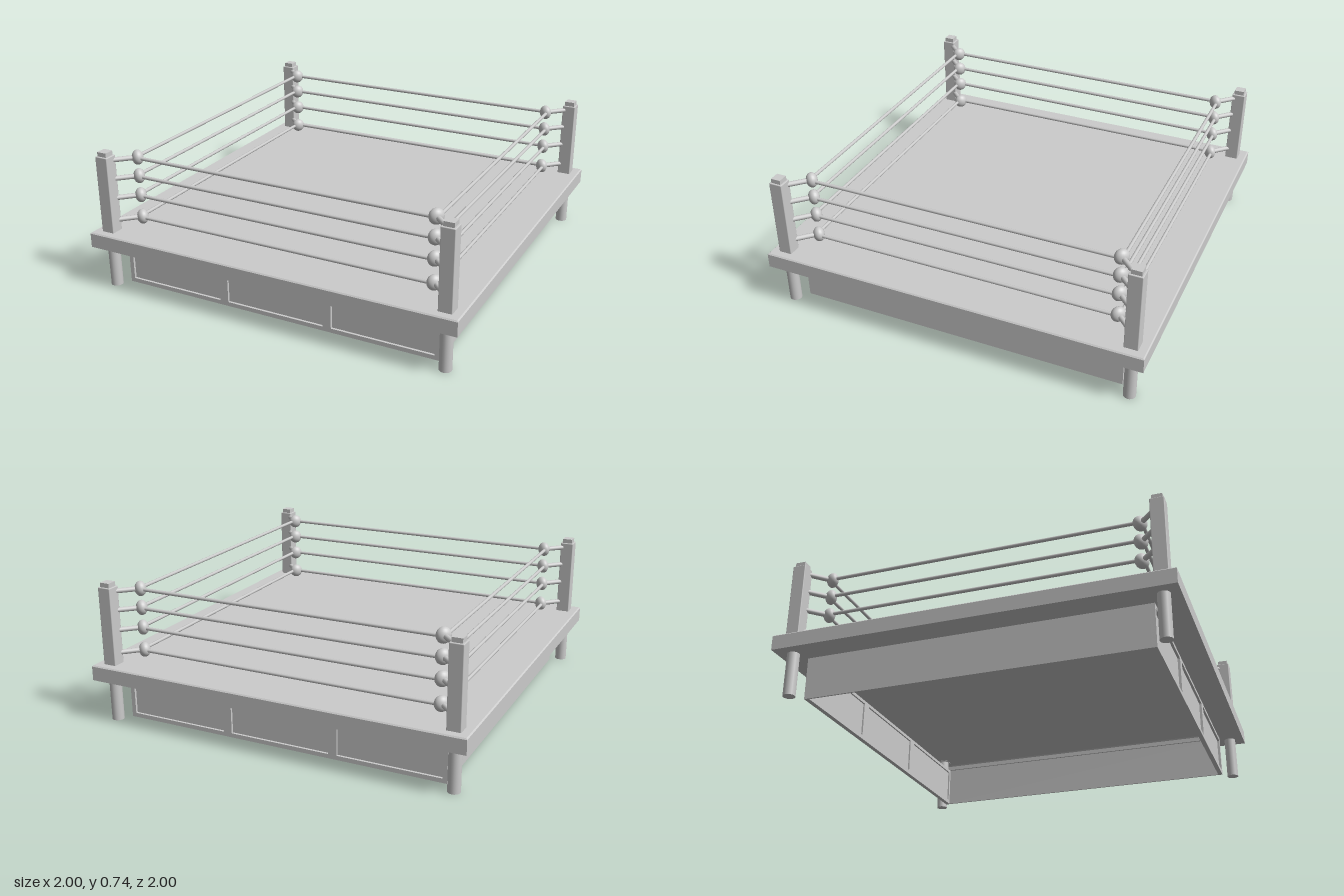
import * as THREE from 'three';
import { RoundedBoxGeometry } from 'three/addons/geometries/RoundedBoxGeometry.js';

const grey = new THREE.MeshStandardMaterial({ color: 0xcccccc });
const greyShell = new THREE.MeshStandardMaterial({ color: 0xcccccc, side: THREE.DoubleSide, flatShading: true });

// square shell: a four-sided lathe whose profile gives half-widths and heights
function squareShell(profile) {
  const points = profile.map(([half, y]) => new THREE.Vector2(half * Math.SQRT2, y));
  const geometry = new THREE.LatheGeometry(points, 4).rotateY(Math.PI / 4).toNonIndexed();
  geometry.computeVertexNormals();
  return geometry;
}

export function createModel() {
  const ring = new THREE.Group();
  ring.name = 'wrestlingRing';

  const add = (name, geometry, x, y, z, parent = ring, material = grey) => {
    const mesh = new THREE.Mesh(geometry, material);
    mesh.name = name;
    mesh.position.set(x, y, z);
    parent.add(mesh);
    return mesh;
  };

  // hollow platform, open underneath inside the skirt
  const platform = squareShell([[0.87, 0.226], [1, 0.226], [1, 0.3], [0.994, 0.306], [0, 0.306]]);
  add('platform', platform, 0, 0, 0, ring, greyShell);

  // skirt: plain walls left and right
  for (const side of [-1, 1]) {
    add('sideSkirt', new THREE.BoxGeometry(0.008, 0.219, 1.74), side * 0.866, 0.1095, 0);
  }

  // skirt: framed walls front and back, panels recessed on both faces
  const frame = new THREE.Shape();
  frame.moveTo(-0.87, 0).lineTo(0.87, 0).lineTo(0.87, 0.219).lineTo(-0.87, 0.219).closePath();
  for (const cx of [-0.58, 0, 0.58]) {
    const hole = new THREE.Path();
    hole.moveTo(cx - 0.267, 0.022).lineTo(cx - 0.267, 0.202);
    hole.lineTo(cx + 0.267, 0.202).lineTo(cx + 0.267, 0.022).closePath();
    frame.holes.push(hole);
  }
  const frameGeometry = new THREE.ExtrudeGeometry(frame, { depth: 0.024, bevelEnabled: false });
  const panelGeometry = new THREE.BoxGeometry(0.534, 0.18, 0.003);
  for (const turn of [0, Math.PI]) {
    const wall = new THREE.Group();
    wall.name = turn ? 'backSkirt' : 'frontSkirt';
    wall.rotation.y = turn;
    ring.add(wall);
    add('skirtFrame', frameGeometry, 0, 0, 0.846, wall);
    for (const cx of [-0.58, 0, 0.58]) {
      add('skirtPanel', panelGeometry, cx, 0.112, 0.856, wall);
    }
  }

  // corners and ropes: one quarter, turned four times
  const ropeHeights = [0.36, 0.48, 0.585, 0.685];
  const post = 0.922;
  const legGeometry = new THREE.CylinderGeometry(0.031, 0.031, 0.304, 20);
  const postGeometry = new RoundedBoxGeometry(0.07, 0.41, 0.07, 1, 0.004);
  const capGeometry = new THREE.BoxGeometry(0.052, 0.03, 0.052);
  const rodGeometry = new THREE.CylinderGeometry(0.013, 0.013, 0.16, 12).rotateX(Math.PI / 2);
  const padGeometry = new THREE.SphereGeometry(0.039, 20, 14).scale(0.95, 1, 0.75);
  const ropeGeometry = new THREE.CylinderGeometry(0.009, 0.009, 1.62, 12).rotateZ(Math.PI / 2);

  for (let i = 0; i < 4; i++) {
    const quarter = new THREE.Group();
    quarter.name = 'ringQuarter';
    quarter.rotation.y = i * Math.PI / 2;
    ring.add(quarter);

    // legs run up through the hollow platform to the deck
    add('leg', legGeometry, post, 0.152, post, quarter);
    add('cornerPost', postGeometry, post, 0.507, post, quarter);
    add('postCap', capGeometry, post, 0.72, post, quarter);

    for (const y of ropeHeights) {
      // turnbuckle runs diagonally from post to rope corner
      add('turnbuckleRod', rodGeometry, 0.865, y, 0.865, quarter).rotation.y = Math.PI / 4;
      add('turnbucklePad', padGeometry, 0.81, y, 0.81, quarter).rotation.y = Math.PI / 4;
      add('rope', ropeGeometry, 0, y, 0.82, quarter);
    }
  }
  return ring;
}
